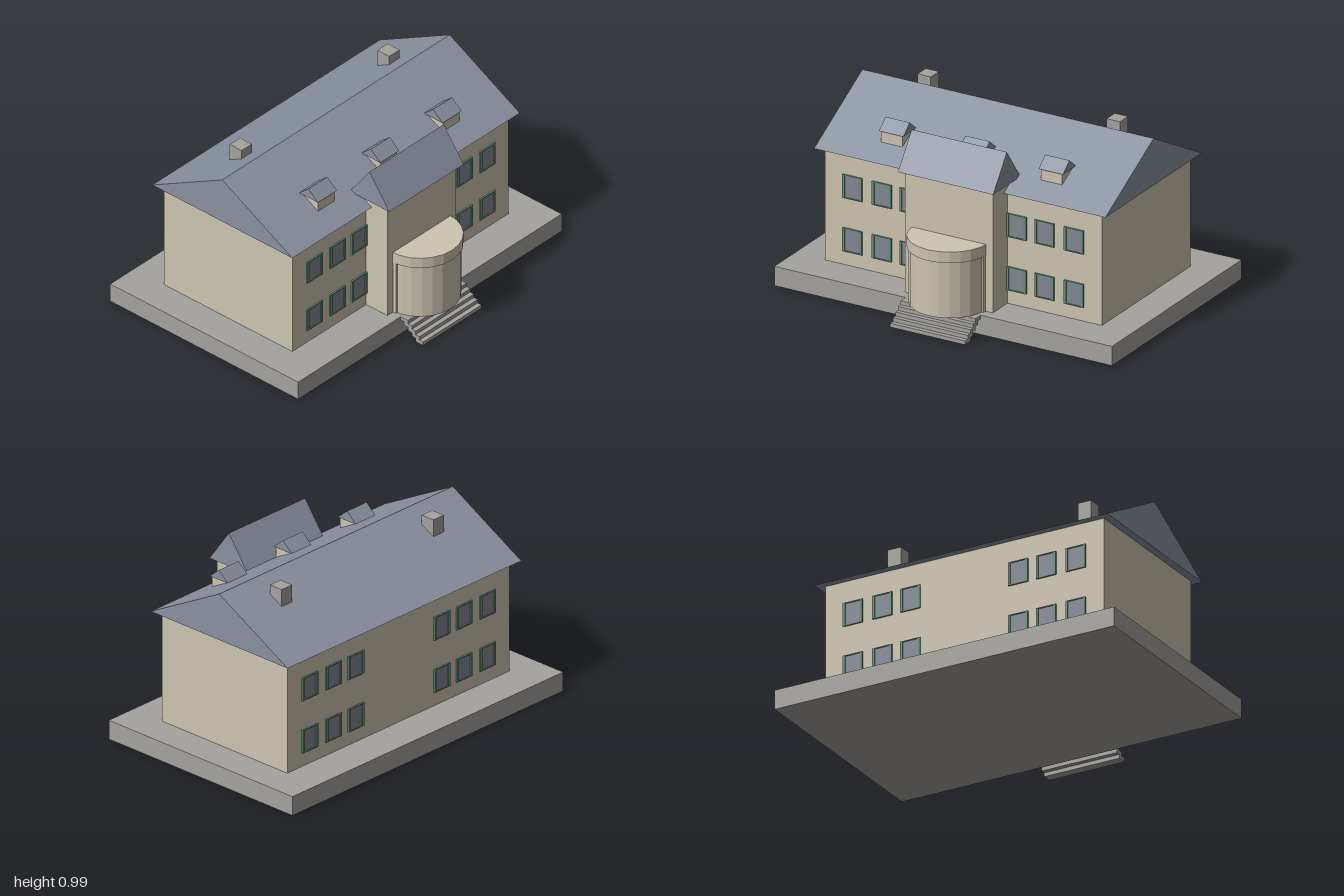
import * as THREE from 'three';

const mat = (name, color, extra = {}) => {
  const m = new THREE.MeshStandardMaterial({ color, ...extra });
  m.name = name;
  return m;
};

export function createModel() {
  const wall = mat('cream wall', 0xcdc5b0, { flatShading: true });
  const roof = mat('slate roof', 0x8a92a0);
  const stone = mat('grey stone', 0xa5a39e);
  const green = mat('green frame', 0x5f9176);
  const glass = mat('window glass', 0x828792);

  const model = new THREE.Group();
  model.name = 'house';

  const add = (name, geometry, material, parent = model) => {
    const mesh = new THREE.Mesh(geometry, material);
    mesh.name = name;
    parent.add(mesh);
    return mesh;
  };

  // Box given by its limits on each axis
  const box = (name, material, [x0, x1], [y0, y1], [z0, z1], parent) => {
    const g = new THREE.BoxGeometry(x1 - x0, y1 - y0, z1 - z0);
    g.translate((x0 + x1) / 2, (y0 + y1) / 2, (z0 + z1) / 2);
    return add(name, g, material, parent);
  };

  // Solid with a (z, y) outline, running along x
  const prism = (name, material, outline, x0, x1, parent) => {
    const shape = new THREE.Shape(outline.map(([z, y]) => new THREE.Vector2(-z, y)));
    const g = new THREE.ExtrudeGeometry(shape, { depth: x1 - x0, bevelEnabled: false });
    g.rotateY(Math.PI / 2).translate(x0, 0, 0);
    return add(name, g, material, parent);
  };

  const gable = (name, x0, x1, z0, z1, eave, ridge, parent) =>
    prism(name, roof, [[z0, eave], [z1, eave], [(z0 + z1) / 2, ridge]], x0, x1, parent);

  // Terrace and main block
  box('terrace', stone, [-1, 1], [0, 0.107], [-0.722, 0.568]);
  box('mainWalls', wall, [-0.82, 0.82], [0.107, 0.735], [-0.515, 0.365]);
  gable('mainRoof', -0.863, 0.863, -0.558, 0.404, 0.73, 0.99);

  // Front projection
  box('frontBay', wall, [-0.26, 0.26], [0.107, 0.785], [0.29, 0.511]);
  gable('frontBayRoof', -0.282, 0.282, 0.272, 0.544, 0.78, 0.966);

  // Rounded porch with a wider cap and end pilasters
  const halfDrum = (name, r, y0, y1) => {
    const shape = new THREE.Shape();
    const n = 12;
    for (let i = 0; i <= n; i++) {
      const a = (i / n) * Math.PI;
      const x = r * Math.cos(a), y = -r * Math.sin(a);
      if (i) shape.lineTo(x, y); else shape.moveTo(x, y);
    }
    const g = new THREE.ExtrudeGeometry(shape, { depth: y1 - y0, bevelEnabled: false });
    g.rotateX(-Math.PI / 2).translate(0, y0, 0.5);
    add(name, g, wall);
  };
  halfDrum('porchWall', 0.21, 0.107, 0.42);
  halfDrum('porchCap', 0.221, 0.417, 0.478);
  for (const s of [-1, 1]) {
    box('porchPilaster', wall, [s * 0.207 - 0.01, s * 0.207 + 0.01], [0.107, 0.42], [0.5, 0.53]);
  }

  // Entrance steps, each tread overlapping the one above
  const count = 5, rise = 0.107 / count;
  for (let i = 0; i < count; i++) {
    const front = 0.722 - i * 0.026;
    box('step', stone, [-0.222, 0.222], [i * rise, (i + 1) * rise], [front - 0.052, front]);
  }

  // Dormers
  for (const x of [-0.473, 0, 0.473]) {
    const dormer = new THREE.Group();
    dormer.name = 'dormer';
    model.add(dormer);
    box('dormerWalls', wall, [x - 0.063, x + 0.063], [0.78, 0.858], [0.18, 0.285], dormer);
    gable('dormerRoof', x - 0.072, x + 0.072, 0.162, 0.292, 0.856, 0.911, dormer);
  }

  // Chimneys
  for (const x of [-0.56, 0.56]) {
    box('chimney', stone, [x - 0.039, x + 0.039], [0.8, 0.984], [-0.265, -0.183]);
  }

  // Windows: a thin green surround with an inset pane
  const w = 0.115, h = 0.13;
  const outline = new THREE.Shape([[-w, -h], [w, -h], [w, h], [-w, h]]
    .map(([x, y]) => new THREE.Vector2(x / 2, y / 2)));
  const iw = w - 0.026, ih = h - 0.01;
  outline.holes.push(new THREE.Path([[-iw, -ih], [-iw, ih], [iw, ih], [iw, -ih]]
    .map(([x, y]) => new THREE.Vector2(x / 2, y / 2))));
  const frameGeo = new THREE.ExtrudeGeometry(outline, { depth: 0.009, bevelEnabled: false });
  const paneGeo = new THREE.BoxGeometry(iw, ih, 0.004).translate(0, 0, 0.002);

  for (const front of [true, false]) {
    for (const side of [-1, 1]) {
      for (const x of [0.317, 0.482, 0.656]) {
        for (const y of [0.248, 0.544]) {
          const win = new THREE.Group();
          win.name = 'window';
          add('windowFrame', frameGeo, green, win);
          add('windowPane', paneGeo, glass, win);
          win.position.set(side * x, y, front ? 0.365 : -0.515);
          win.rotation.y = front ? 0 : Math.PI;
          model.add(win);
        }
      }
    }
  }

  return model;
}
